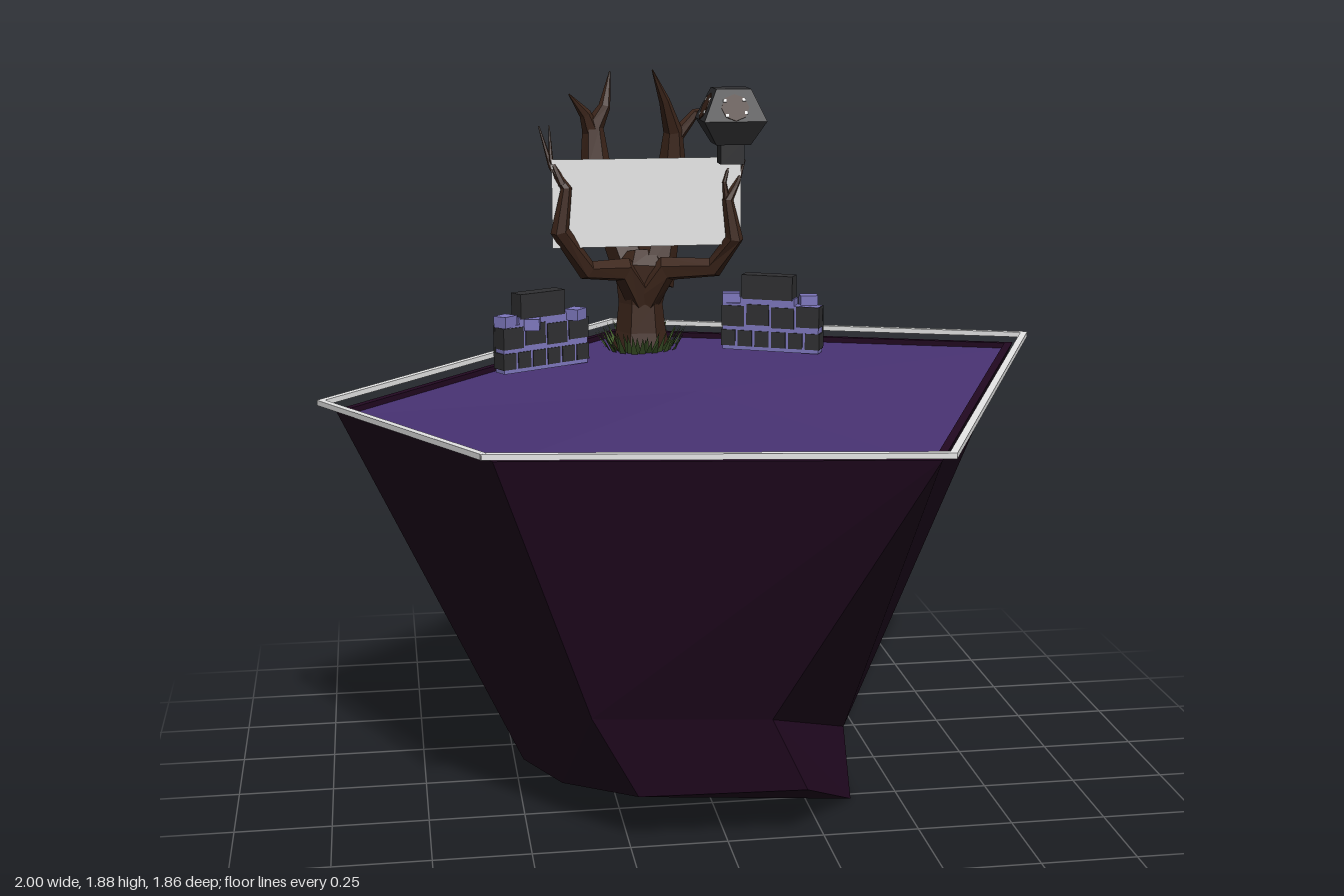
import * as THREE from 'three';

const mat = (name, color, side = THREE.FrontSide) => {
  const m = new THREE.MeshStandardMaterial({ color, flatShading: true, side });
  m.name = name;
  return m;
};
const V = (x, y, z) => new THREE.Vector3(x, y, z);

// Flat polygons, each drawn as a fan
function polygons(faces) {
  const out = [];
  for (const f of faces)
    for (let i = 1; i < f.length - 1; i++)
      for (const p of [f[0], f[i], f[i + 1]]) out.push(p.x, p.y, p.z);
  const g = new THREE.BufferGeometry();
  g.setAttribute('position', new THREE.Float32BufferAttribute(out, 3));
  g.computeVertexNormals();
  return g;
}

// Tapered six-sided limb through rows of [x, y, z, radius]
function limb(rows, sides = 6) {
  const pts = rows.map(r => V(r[0], r[1], r[2]));
  const rings = pts.map((p, i) => {
    const t = pts[Math.min(i + 1, pts.length - 1)].clone().sub(pts[Math.max(i - 1, 0)]).normalize();
    const u = V(0, 0, 1).cross(t).normalize();
    const w = t.clone().cross(u);
    return Array.from({ length: sides }, (_, k) => {
      const a = (k / sides) * Math.PI * 2;
      return p.clone().addScaledVector(u, Math.cos(a) * rows[i][3]).addScaledVector(w, Math.sin(a) * rows[i][3]);
    });
  });
  const faces = [[...rings[0]].reverse(), rings[rings.length - 1]];
  for (let i = 0; i < rings.length - 1; i++)
    for (let k = 0; k < sides; k++) {
      const n = (k + 1) % sides;
      faces.push([rings[i][k], rings[i][n], rings[i + 1][n], rings[i + 1][k]]);
    }
  return polygons(faces);
}

export function createModel() {
  const soil = mat('dark soil', 0x210820);
  const turf = mat('purple turf', 0x493374);
  const pale = mat('pale grey', 0xe8e8e8, THREE.DoubleSide);
  const bark = mat('bark', 0x3d261b);
  const stone = mat('dark stone', 0x303032);
  const lilac = mat('lilac crystal', 0x7e78be);
  const green = mat('grass green', 0x46602f, THREE.DoubleSide);

  const root = new THREE.Group();
  root.name = 'floatingIsland';
  const add = (parent, name, geo, material, x = 0, y = 0, z = 0) => {
    const m = new THREE.Mesh(geo, material);
    m.name = name;
    m.position.set(x, y, z);
    parent.add(m);
    return m;
  };
  const box = (parent, name, w, h, d, material, x, y, z) =>
    add(parent, name, new THREE.BoxGeometry(w, h, d), material, x, y, z);

  // Island: five-cornered top narrowing to a chipped underside
  const top = [V(-0.12, 1.08, -0.89), V(0.955, 1.12, -0.29), V(0.43, 1.08, 0.885), V(-0.59, 1.08, 0.74), V(-0.955, 1.04, -0.05)];
  const [A, B, C, D, E] = top;
  const A1 = V(-0.04, 0.09, -0.26), B1 = V(0.41, 0.1, 0.01), low = V(0.37, 0, 0.28), E1 = V(-0.49, 0.09, 0.09);
  const C1 = V(0.1, 0.35, 0.57), D1 = V(-0.35, 0.37, 0.55), C2 = V(0.2, 0.14, 0.53), D2 = V(-0.23, 0.14, 0.51);
  const F1 = V(-0.4, 0.082, 0.25);
  const scaled = (s, dy) => top.map(p => V(p.x * s, p.y + dy, p.z * s));
  const lip = scaled(0.972, 0), floor = scaled(0.972, -0.015);
  const rock = [
    [A, B, B1, A1], [B1, B, C], [C1, low, B1, C], [C1, C2, low], [C, D, D1, C1],
    [C1, D1, D2, C2], [D1, D, E, E1, F1, D2], [E, A, A1, E1], [E1, A1, B1, low], [low, C2, D2, F1, E1],
  ];
  for (let i = 0; i < 5; i++) {
    const j = (i + 1) % 5;
    rock.push([top[i], lip[i], lip[j], top[j]], [lip[i], floor[i], floor[j], lip[j]]);
  }
  add(root, 'islandRock', polygons(rock), soil);
  const middle = V(0, 1.07, 0);
  add(root, 'turf', polygons(floor.map((p, i) => [middle, floor[(i + 1) % 5], p])), turf);

  // Thin frame hovering around the edge
  const outer = scaled(1.038, 0.02);
  const frame = new THREE.Group();
  frame.name = 'edgeFrame';
  root.add(frame);
  outer.forEach((p, i) => {
    const q = outer[(i + 1) % 5];
    const bar = box(frame, 'frameBar', 0.018, 0.014, p.distanceTo(q) + 0.012, pale, 0, 0, 0);
    bar.position.copy(p).lerp(q, 0.5);
    bar.lookAt(q);
  });

  // Bare tree
  const tree = new THREE.Group();
  tree.name = 'tree';
  root.add(tree);
  const wood = {
    trunk: [[-0.07, 1.06, -0.65, 0.088], [-0.07, 1.12, -0.65, 0.074], [-0.07, 1.2, -0.65, 0.065], [-0.06, 1.31, -0.66, 0.085], [-0.06, 1.35, -0.67, 0.055]],
    leftBackBranch: [[-0.07, 1.26, -0.67, 0.066], [-0.14, 1.45, -0.76, 0.052], [-0.18, 1.58, -0.83, 0.046], [-0.185, 1.7, -0.84, 0.032], [-0.15, 1.76, -0.84, 0.018], [-0.13, 1.86, -0.87, 0.002]],
    leftBackTwig: [[-0.185, 1.67, -0.84, 0.03], [-0.21, 1.74, -0.82, 0.018], [-0.26, 1.8, -0.79, 0.002]],
    rightBackBranch: [[-0.04, 1.26, -0.65, 0.07], [0.0, 1.42, -0.68, 0.052], [0.03, 1.58, -0.69, 0.044], [0.03, 1.7, -0.67, 0.028], [0.0, 1.79, -0.63, 0.016], [-0.04, 1.88, -0.59, 0.002]],
    rightBackTwig: [[0.03, 1.67, -0.68, 0.024], [0.1, 1.75, -0.69, 0.013], [0.15, 1.76, -0.67, 0.008], [0.22, 1.81, -0.66, 0.002]],
    leftFrontBranch: [[-0.07, 1.22, -0.63, 0.048], [-0.13, 1.31, -0.59, 0.038], [-0.24, 1.32, -0.53, 0.03], [-0.32, 1.44, -0.48, 0.027], [-0.3, 1.56, -0.48, 0.016], [-0.34, 1.62, -0.5, 0.008], [-0.37, 1.73, -0.54, 0.002]],
    leftFrontTwig: [[-0.31, 1.57, -0.48, 0.012], [-0.34, 1.64, -0.5, 0.006], [-0.34, 1.73, -0.55, 0.002]],
    rightFrontBranch: [[-0.06, 1.22, -0.63, 0.048], [0.0, 1.31, -0.59, 0.038], [0.13, 1.32, -0.53, 0.03], [0.18, 1.41, -0.48, 0.026], [0.16, 1.52, -0.48, 0.016], [0.19, 1.57, -0.49, 0.008], [0.215, 1.63, -0.51, 0.002]],
    rightFrontTwig: [[0.16, 1.5, -0.48, 0.012], [0.15, 1.57, -0.48, 0.006], [0.17, 1.63, -0.5, 0.002]],
  };
  for (const name in wood) add(tree, name, limb(wood[name]), bark);

  // Grass around the trunk: flat blades leaning outward
  for (let i = 0; i < 60; i++) {
    const a = i * 2.4, r = 0.08 + 0.03 * ((i * 7 % 11) / 11), h = 0.045 + 0.03 * ((i * 5 % 7) / 7);
    const blade = add(tree, 'grassBlade', polygons([[V(-0.01, 0, 0), V(0.01, 0, 0), V(0, h, 0.035)]]), green,
      -0.07 + Math.sin(a) * r, 1.066, -0.65 + Math.cos(a) * r);
    blade.rotation.y = a;
  }

  // Blank sign hung between the front branches
  add(root, 'signPanel', new THREE.PlaneGeometry(0.54, 0.25), pale, -0.07, 1.515, -0.49);

  // Broken brick walls with mortar showing in front and crystals on the steps
  const wall = (name, x, y, z, turn, side) => {
    const g = new THREE.Group();
    g.name = name;
    g.position.set(x, y, z);
    g.rotation.y = turn;
    root.add(g);
    box(g, 'mortar', 0.285, 0.135, 0.044, lilac, 0, 0.055, 0);
    box(g, 'upperMortar', 0.16, 0.02, 0.044, lilac, -0.01, 0.132, 0);
    for (let i = 0; i < 6; i++) box(g, 'lowerBrick', 0.042, 0.046, 0.05, stone, -0.125 + i * 0.05, 0.022, 0);
    for (let i = 0; i < 4; i++) box(g, 'upperBrick', 0.067, 0.06, 0.05, stone, -0.111 + i * 0.074, 0.086 + (i % 2) * 0.006, 0);
    box(g, 'topBrick', 0.15, 0.07, 0.048, stone, -0.01, 0.172, 0);
    box(g, 'backBrick', 0.29, 0.12, 0.008, stone, 0, 0.06, -0.023);
    [[-0.125, 0.005, 0.3], [-0.05, 0.028, 0.9], [0.1, 0.026, 0.4]].forEach(([cx, cz, r], i) => {
      box(g, 'crystal', 0.05, 0.032, 0.042, lilac, cx, 0.134 - (i % 2) * 0.012, cz * side).rotation.y = r;
    });
  };
  wall('leftWall', 0.285, 1.1, -0.445, -0.46, -1);
  wall('rightWall', -0.38, 1.073, -0.43, 0.52, 1);

  // Hovering lantern: square faceted shell, short stem and dim windows
  const lantern = new THREE.Group();
  lantern.name = 'lantern';
  lantern.position.set(0.08, 1.79, 0.035);
  root.add(lantern);
  const profile = [[0, -0.062], [0.045, -0.062], [0.081, 0], [0.045, 0.08], [0, 0.08]]
    .map(([half, y]) => new THREE.Vector2(half * Math.SQRT2, y));
  add(lantern, 'lanternShell', new THREE.LatheGeometry(profile, 4, Math.PI / 4), stone);
  box(lantern, 'lanternStem', 0.062, 0.06, 0.062, stone, 0, -0.083, 0);
  for (let i = 0; i < 4; i++) {
    const side = new THREE.Group();
    side.name = 'lanternSide';
    side.rotation.y = i * Math.PI / 2;
    lantern.add(side);
    const pane = new THREE.Group();
    pane.name = 'lanternWindow';
    pane.position.set(0, 0.034, 0.0655);
    pane.rotation.x = -Math.atan2(0.036, 0.08);
    side.add(pane);
    add(pane, 'windowDisc', new THREE.CylinderGeometry(0.036, 0.036, 0.006, 8).rotateX(Math.PI / 2), bark);
    for (const [x, y] of [[-0.026, 0.018], [0.024, 0.02], [0.028, -0.014], [-0.022, -0.022]])
      box(pane, 'glint', 0.008, 0.008, 0.003, pale, x, y, 0.003);
  }
  return root;
}
